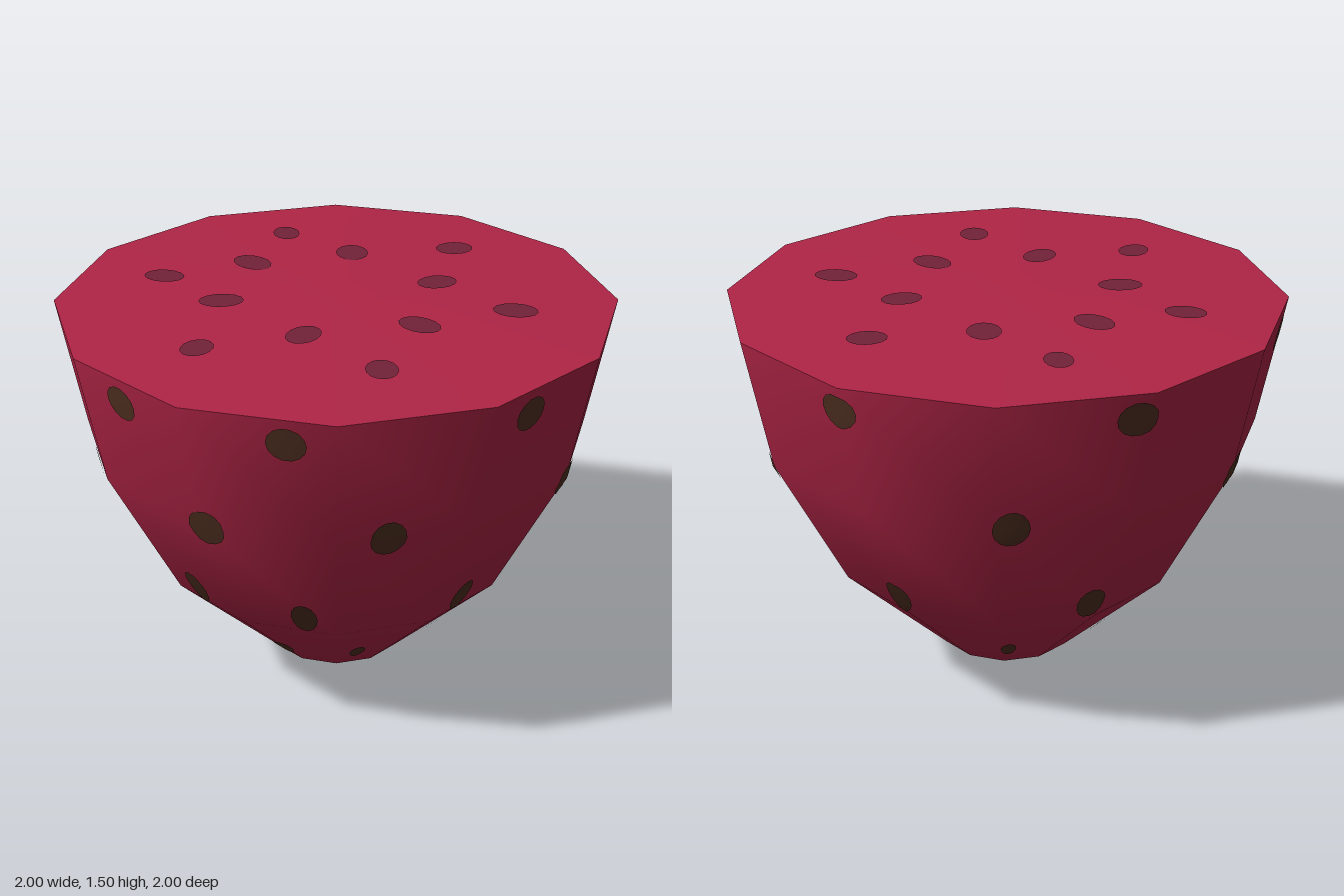
import * as THREE from 'three';

const SIDES = 12;
const STEP = (Math.PI * 2) / SIDES;
// Side profile as [radius, height], from tip to cut face
const PROFILE = [[0, 0], [0.153, 0.06], [0.26, 0.1], [0.655, 0.49], [0.91, 1.0], [1, 1.475]];

const lathe = (pts) => new THREE.LatheGeometry(pts.map(([r, y]) => new THREE.Vector2(r, y)), SIDES);

// Tilt of each profile segment, averaged at its points for smooth shading
const segmentTilt = PROFILE.slice(1).map(([r, y], i) => Math.atan2(r - PROFILE[i][0], y - PROFILE[i][1]));
const pointTilt = PROFILE.map((_, i) => {
  const a = segmentTilt[Math.max(i - 1, 0)];
  const b = segmentTilt[Math.min(i, segmentTilt.length - 1)];
  return (a + b) / 2;
});

// Point and normal on the twelve-sided flank
function flank(angle, y, lift) {
  let i = 0;
  while (i < PROFILE.length - 2 && y > PROFILE[i + 1][1]) i++;
  const t = (y - PROFILE[i][1]) / (PROFILE[i + 1][1] - PROFILE[i][1]);
  const local = ((angle % STEP) + STEP) % STEP - STEP / 2;
  const r = THREE.MathUtils.lerp(PROFILE[i][0], PROFILE[i + 1][0], t) * Math.cos(STEP / 2) / Math.cos(local);
  const tilt = THREE.MathUtils.lerp(pointTilt[i], pointTilt[i + 1], t);
  const n = new THREE.Vector3(Math.sin(angle) * Math.cos(tilt), -Math.sin(tilt), Math.cos(angle) * Math.cos(tilt));
  const p = new THREE.Vector3(r * Math.sin(angle), y, r * Math.cos(angle)).addScaledVector(n, lift);
  return { p, n };
}

// Oval patch that follows the flank
function flankSeed(angle, y, halfAngle, halfHeight) {
  const g = new THREE.RingGeometry(0.001, 1, 14, 4);
  const pos = g.attributes.position;
  const nor = g.attributes.normal;
  for (let i = 0; i < pos.count; i++) {
    const { p, n } = flank(angle + pos.getX(i) * halfAngle, y + pos.getY(i) * halfHeight, 0.005);
    pos.setXYZ(i, p.x, p.y, p.z);
    nor.setXYZ(i, n.x, n.y, n.z);
  }
  return g;
}

const topHeight = (r) => 1.495 - 0.02 * Math.max(0, (r - 0.18) / 0.82);

export function createModel() {
  const model = new THREE.Group();
  model.name = 'halfFruit';

  const skin = new THREE.MeshStandardMaterial({ color: 0xb02546 });
  const seedBrown = new THREE.MeshStandardMaterial({ color: 0x513122 });
  const seedPlum = new THREE.MeshStandardMaterial({ color: 0x722339 });

  const add = (name, geometry, material, parent = model) => {
    const mesh = new THREE.Mesh(geometry, material);
    mesh.name = name;
    parent.add(mesh);
    return mesh;
  };

  // Body, dark tip and slightly domed cut face
  add('body', lathe(PROFILE.slice(1)), skin);
  add('tip', lathe(PROFILE.slice(0, 2)), seedBrown);
  add('cutFace', lathe([[1, 1.475], [0.18, 1.495], [0, 1.495]]), skin);

  // Four staggered rows of seeds around the flank
  const evenRow = [-67, -17, 20.5, 70.5, 123.5, 179, 237];
  const oddRow = [-37, 1.6, 41, 91.5, 147, 213, 272];
  const rows = [
    { y: 1.385, halfHeight: 0.062, angles: evenRow },
    { y: 1.0, halfHeight: 0.074, angles: oddRow },
    { y: 0.57, halfHeight: 0.073, angles: evenRow },
    { y: 0.245, halfHeight: 0.054, angles: oddRow },
  ];
  const flankSeeds = new THREE.Group();
  flankSeeds.name = 'flankSeeds';
  model.add(flankSeeds);
  for (const { y, halfHeight, angles } of rows) {
    for (const a of angles) {
      add('flankSeed', flankSeed(THREE.MathUtils.degToRad(a), y, 0.07, halfHeight), seedBrown, flankSeeds);
    }
  }

  // Seeds on the cut face: x, z, half length, half width, turn in degrees
  const topSeeds = [
    [0.15, -0.635, 0.07, 0.062, 45], [-0.485, -0.46, 0.068, 0.05, -50],
    [-0.155, -0.39, 0.078, 0.06, -55], [0.255, -0.285, 0.074, 0.06, 55],
    [0.605, -0.2, 0.08, 0.062, 15], [-0.425, -0.12, 0.083, 0.06, -18],
    [0.38, 0.09, 0.083, 0.06, -15], [-0.64, 0.14, 0.075, 0.058, 12],
    [-0.325, 0.245, 0.08, 0.06, 35], [0.08, 0.36, 0.078, 0.058, -85],
    [0.435, 0.46, 0.075, 0.055, -55], [-0.18, 0.615, 0.07, 0.055, -80],
  ];
  const cutSeeds = new THREE.Group();
  cutSeeds.name = 'cutFaceSeeds';
  model.add(cutSeeds);
  for (const [x, z, a, b, turn] of topSeeds) {
    const g = new THREE.CircleGeometry(1, 14).scale(a, b, 1).rotateX(-Math.PI / 2)
      .rotateY(THREE.MathUtils.degToRad(turn));
    add('cutFaceSeed', g, seedPlum, cutSeeds).position.set(x, topHeight(Math.hypot(x, z)) + 0.005, z);
  }

  return model;
}
